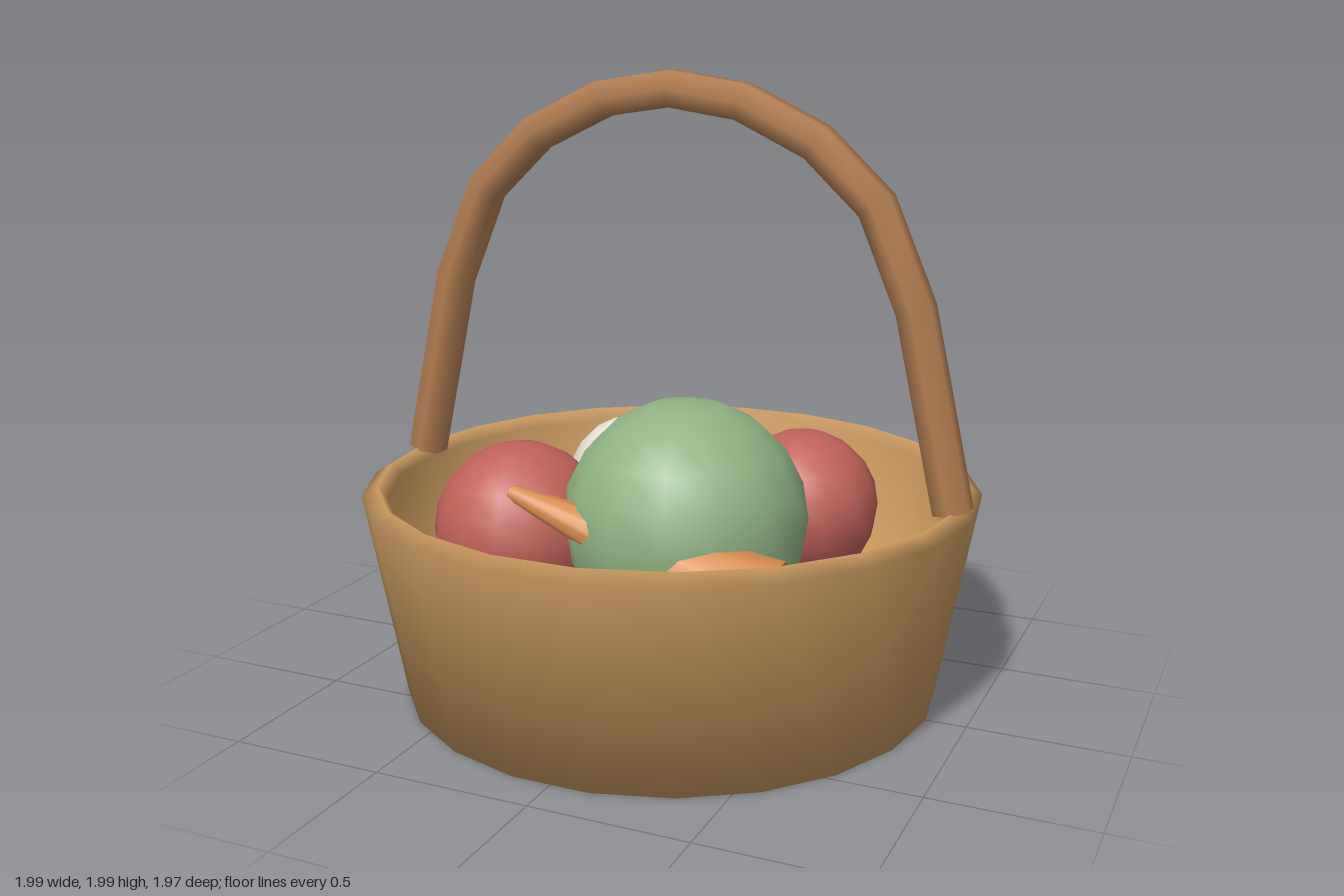
import * as THREE from 'three';

const material = (color) => new THREE.MeshStandardMaterial({ color, side: THREE.DoubleSide });

function addMesh(parent, name, geometry, mat) {
  const mesh = new THREE.Mesh(geometry, mat);
  mesh.name = name;
  parent.add(mesh);
  return mesh;
}

export function createModel() {
  const group = new THREE.Group();
  group.name = 'basket';
  const wicker = material(0xcb9b60);
  const wood = material(0xb07c50);
  const red = material(0xc0625a);
  const green = material(0x8fb283);
  const white = material(0xe8e0d0);
  const orange = material(0xd68c50);

  // Bowl: outer floor, flared wall, rolled rim, inner wall and inner floor
  const profile = [
    [0, 0], [0.87, 0], [0.995, 0.67], [0.945, 0.7], [0.915, 0.66], [0.81, 0.06], [0, 0.06],
  ].map(([r, y]) => new THREE.Vector2(r, y));
  const bowl = addMesh(group, 'bowl', new THREE.LatheGeometry(profile, 22), wicker);
  bowl.rotation.y = Math.PI / 2;

  // Handle: six-sided tube along a mirrored arch
  const half = [[0.93, 0.69], [0.795, 1.3], [0.665, 1.605], [0.475, 1.785], [0.235, 1.9]];
  const arch = [
    ...half,
    [0, 1.935],
    ...half.map(([x, y]) => [-x, y]).reverse(),
  ].map(([x, y]) => new THREE.Vector3(x, y, 0));
  const curve = new THREE.CatmullRomCurve3(arch);
  // Put one ring on each arch point instead of spacing them evenly
  curve.getPointAt = (t, target) => curve.getPoint(t, target);
  curve.getTangentAt = (t, target) => curve.getTangent(t, target);
  addMesh(group, 'handle', new THREE.TubeGeometry(curve, arch.length - 1, 0.065, 6), wood);

  // End caps of the handle
  for (const t of [0, 1]) {
    const cap = addMesh(group, 'handleEnd', new THREE.CircleGeometry(0.065, 6, Math.PI / 2), wood);
    cap.position.copy(curve.getPoint(t));
    const out = curve.getTangent(t).multiplyScalar(t === 0 ? -1 : 1);
    const side = new THREE.Vector3(0, 0, 1);
    cap.quaternion.setFromRotationMatrix(
      new THREE.Matrix4().makeBasis(side.clone().cross(out), side, out));
  }

  // Round produce: name, material, radius, centre
  const produce = [
    ['cabbage', green, 0.385, 0.135, 0.62, 0.2],
    ['frontTomato', red, 0.28, -0.405, 0.55, 0.28],
    ['backTomato', red, 0.257, 0.33, 0.543, -0.34],
    ['onion', white, 0.225, -0.335, 0.54, -0.4],
  ];
  for (const [name, mat, r, x, y, z] of produce) {
    addMesh(group, name, new THREE.SphereGeometry(r, 14, 10), mat).position.set(x, y, z);
  }

  // Carrot: tapered, lying with its thin end raised
  const tip = new THREE.Vector3(-0.335, 0.725, 0.465);
  const butt = new THREE.Vector3(0.51, 0.48, 0.465);
  const axis = tip.clone().sub(butt);
  const carrot = addMesh(group, 'carrot',
    new THREE.CylinderGeometry(0.025, 0.145, axis.length(), 10), orange);
  carrot.position.copy(tip).add(butt).multiplyScalar(0.5);
  carrot.quaternion.setFromUnitVectors(new THREE.Vector3(0, 1, 0), axis.normalize());

  return group;
}
